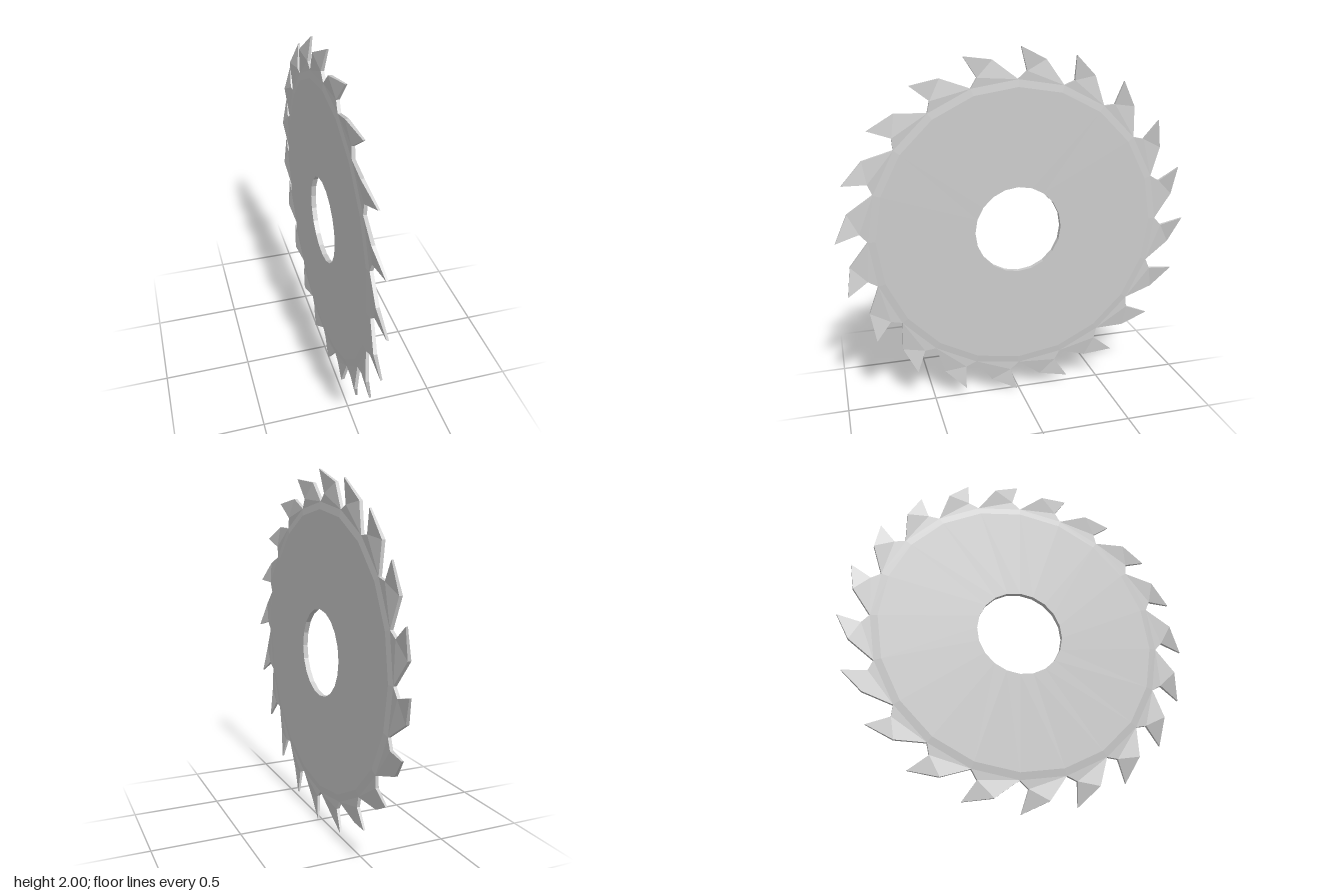
import * as THREE from 'three';

const TEETH = 20;
const STEP = (Math.PI * 2) / TEETH;

// One sector as [across, up, left x, right x], before turning it round the hub
const BORE = [0, 0.247, -0.014, 0.014];
const HUB = [0, 0.79, -0.014, 0.014];
const VALLEY = [0, 0.83, -0.009, 0.009];
const KNEE = [0.048, 0.872, -0.008, 0.01];
const TIP = [0.011, 1.0, 0.012, 0.023];
const SHOULDER = [0.158, 0.929, -0.023, -0.004];

// Turn a profile point to sector i and return its left and right corners
function corner([u, v, left, right], i) {
  const c = Math.cos(i * STEP), s = Math.sin(i * STEP);
  const y = 1 + v * c - u * s, z = -(u * c + v * s);
  return { l: [left, y, z], r: [right, y, z] };
}

function makeGeometry(build) {
  const pos = [];
  const tri = (a, b, c) => pos.push(...a, ...b, ...c);
  const add = {
    // the same face on both sides of the blade
    both(a, b, c) { tri(a.r, b.r, c.r); tri(a.l, c.l, b.l); },
    // wall across the thickness
    wall(p, q) { tri(p.r, q.r, q.l); tri(p.r, q.l, p.l); },
  };
  for (let i = 0; i < TEETH; i++) build(add, (p, k = 0) => corner(p, i + k));
  const geo = new THREE.BufferGeometry();
  geo.setAttribute('position', new THREE.Float32BufferAttribute(pos, 3));
  geo.computeVertexNormals();
  return geo;
}

export function createModel() {
  const group = new THREE.Group();
  group.name = 'circularSawBlade';
  const material = new THREE.MeshStandardMaterial({ color: 0xcccccc, flatShading: true });
  const part = (name, build) => {
    const mesh = new THREE.Mesh(makeGeometry(build), material);
    mesh.name = name;
    group.add(mesh);
  };
  const ring = (add, at, inner, outer) => {
    add.both(at(inner), at(inner, 1), at(outer, 1));
    add.both(at(inner), at(outer, 1), at(outer));
  };

  // Flat disc with its bore
  part('disc', (add, at) => {
    ring(add, at, BORE, HUB);
    add.wall(at(BORE, 1), at(BORE));
  });

  // Bevel thinning down to the tooth roots
  part('rimBevel', (add, at) => ring(add, at, HUB, VALLEY));

  // Hooked teeth, twisted from tip to shoulder
  part('teeth', (add, at) => {
    const outline = [at(VALLEY), at(KNEE), at(TIP), at(SHOULDER), at(VALLEY, 1)];
    const [root, knee, tip, shoulder, nextRoot] = outline;
    add.both(root, nextRoot, knee);
    add.both(knee, nextRoot, shoulder);
    add.both(knee, shoulder, tip);
    for (let k = 0; k < 4; k++) add.wall(outline[k], outline[k + 1]);
  });

  return group;
}
